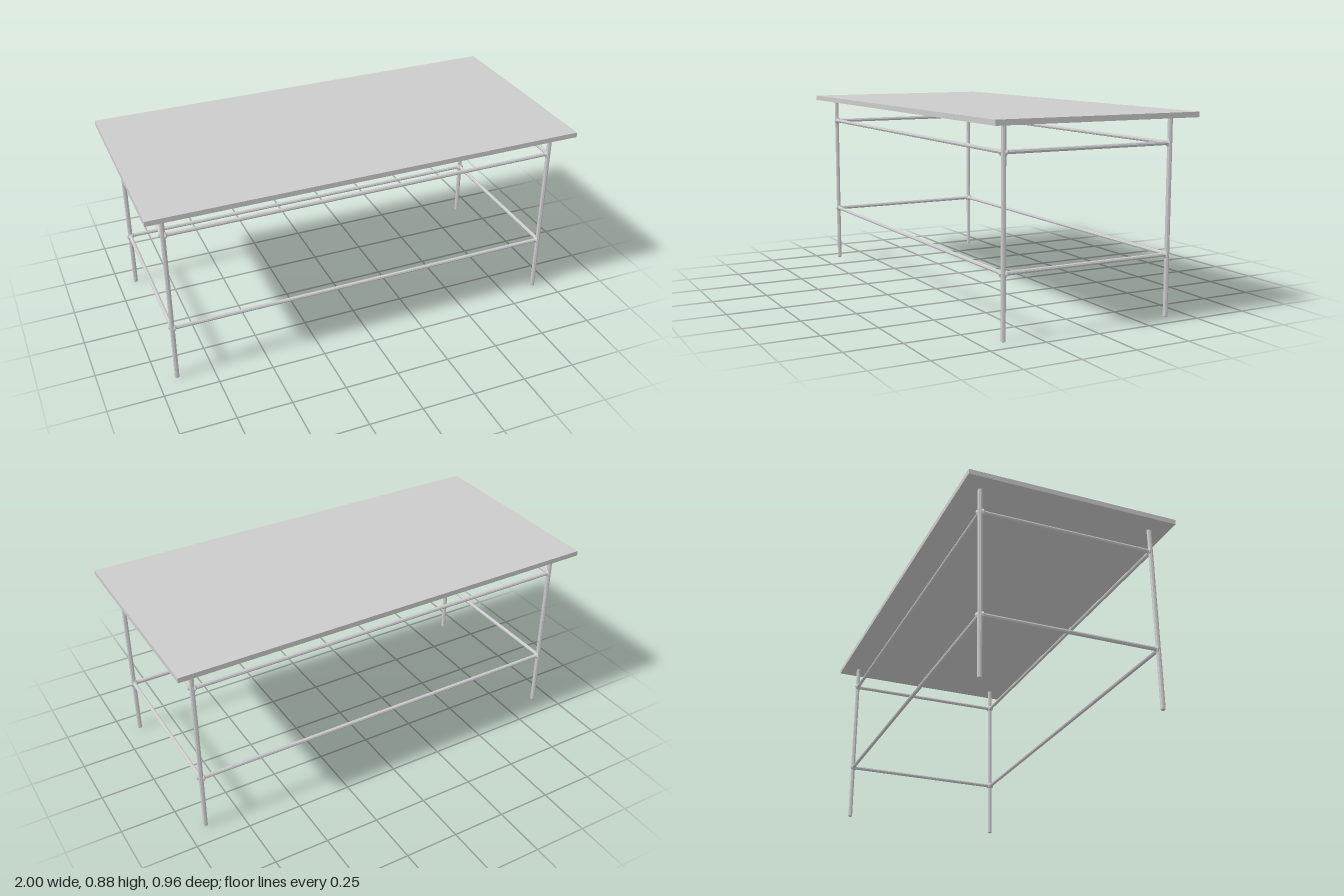
import * as THREE from 'three';

const LEG_X = 0.915, LEG_Z = 0.397, LEG_R = 0.0105, RAIL_R = 0.009;
const TOP_Y = 0.878, TOP_T = 0.023, SIDES = 8;

export function createModel() {
  const group = new THREE.Group();
  const metal = new THREE.MeshStandardMaterial({ color: 0xcccccc, flatShading: true });

  const add = (name, geometry, x, y, z) => {
    const mesh = new THREE.Mesh(geometry, metal);
    mesh.name = name;
    mesh.position.set(x, y, z);
    group.add(mesh);
    return mesh;
  };
  const lathe = (points) =>
    new THREE.LatheGeometry(points.map(([r, y]) => new THREE.Vector2(r, y)), SIDES);

  // Rail with flared ends that blend into the legs
  const railGeometry = (length) => {
    const h = length / 2, e = h - LEG_R;
    return lathe([
      [RAIL_R, -h], [0.017, -e], [0.0115, -e + 0.003], [RAIL_R, -e + 0.008],
      [RAIL_R, e - 0.008], [0.0115, e - 0.003], [0.017, e], [RAIL_R, h],
    ]);
  };

  // Tabletop
  add('tabletop', new THREE.BoxGeometry(2, TOP_T, 0.96), 0, TOP_Y - TOP_T / 2, 0);

  // Legs with a small chamfer at the foot
  const legTop = TOP_Y - TOP_T;
  const legGeometry = lathe([
    [0, 0], [LEG_R - 0.002, 0], [LEG_R, 0.002], [LEG_R, legTop], [0, legTop],
  ]);
  for (const [sx, side] of [[1, 'Left'], [-1, 'Right']])
    for (const [sz, end] of [[1, 'front'], [-1, 'back']])
      add(`${end}${side}Leg`, legGeometry, sx * LEG_X, 0, sz * LEG_Z);

  // Upper and lower rails around all four sides
  const longRail = railGeometry(2 * LEG_X).rotateZ(Math.PI / 2);
  const shortRail = railGeometry(2 * LEG_Z).rotateX(Math.PI / 2);
  for (const [y, level] of [[0.746, 'upper'], [0.272, 'lower']])
    for (const s of [1, -1]) {
      add(`${level}${s > 0 ? 'Front' : 'Back'}Rail`, longRail, 0, y, s * LEG_Z);
      add(`${level}${s > 0 ? 'Left' : 'Right'}Rail`, shortRail, s * LEG_X, y, 0);
    }

  return group;
}
